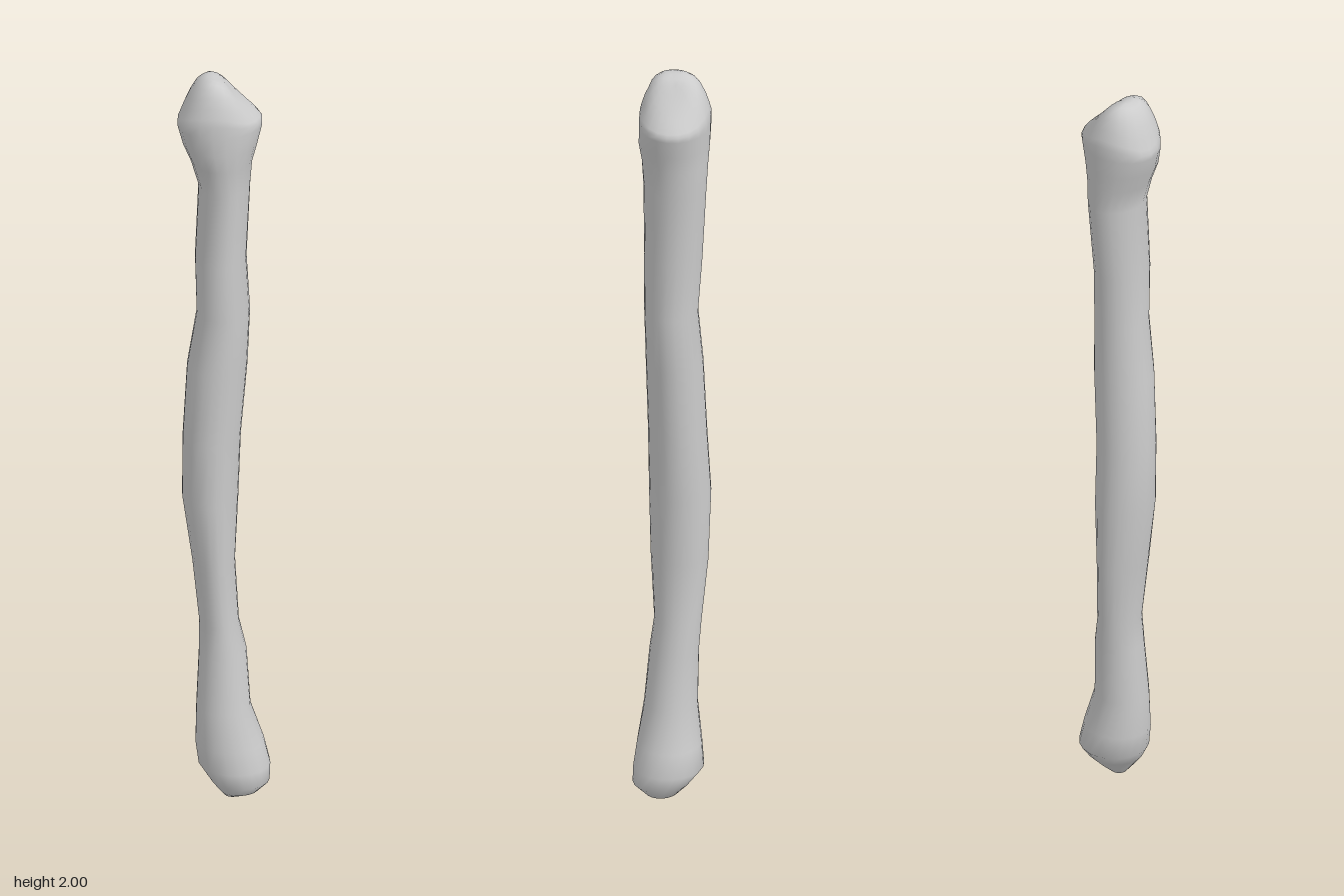
import * as THREE from 'three';

const SIDES = 20;

// Cross-sections from bottom to top: y, xMin, xMax, zMin, zMax,
// bulge (below 0 flattens the front-left flank, above 0 swells it)
const SECTIONS = [
  [0.003, 0.0, 0.04, -0.005, 0.035, 0],
  [0.02, -0.012, 0.085, -0.022, 0.065, 0],
  [0.05, -0.035, 0.109, -0.05, 0.09, 0.06],
  [0.09, -0.062, 0.113, -0.082, 0.09, 0.06],
  [0.15, -0.07, 0.1, -0.075, 0.085, 0.02],
  [0.25, -0.068, 0.068, -0.062, 0.073, -0.06],
  [0.4, -0.06, 0.06, -0.065, 0.06, -0.1],
  [0.48, -0.058, 0.042, -0.07, 0.05, -0.1],
  [0.65, -0.075, 0.033, -0.085, 0.062, -0.12],
  [0.83, -0.1, 0.042, -0.09, 0.068, -0.12],
  [1.0, -0.1, 0.047, -0.08, 0.07, -0.12],
  [1.2, -0.09, 0.063, -0.073, 0.073, -0.12],
  [1.35, -0.067, 0.068, -0.063, 0.074, -0.12],
  [1.5, -0.07, 0.06, -0.073, 0.075, -0.12],
  [1.7, -0.06, 0.07, -0.085, 0.075, -0.1],
  [1.77, -0.08, 0.075, -0.088, 0.08, -0.06],
  [1.82, -0.1, 0.085, -0.091, 0.086, 0],
  [1.87, -0.113, 0.098, -0.093, 0.084, 0],
];

// One closed ring of points around a section
function ring([y, x0, x1, z0, z1, bulge]) {
  const points = [];
  for (let i = 0; i < SIDES; i++) {
    const a = (i / SIDES) * Math.PI * 2;
    const k = 1 + bulge * Math.max(0, Math.cos(a - Math.PI / 4)) ** 4;
    points.push(new THREE.Vector3(
      (x0 + x1) / 2 + ((x1 - x0) / 2) * k * Math.cos(a), y,
      (z0 + z1) / 2 + ((z1 - z0) / 2) * k * Math.sin(a)));
  }
  return points;
}

// Joint surface profile: a high rounded knob falling to a low shelf at +x
const CROWN = [[-0.115, 1.92], [-0.09, 1.97], [-0.06, 1.997], [-0.03, 2.003],
  [0, 1.99], [0.03, 1.957], [0.06, 1.932], [0.11, 1.915]];
function crownHeight(x) {
  for (let i = 1; i < CROWN.length; i++) {
    const [xa, ya] = CROWN[i - 1], [xb, yb] = CROWN[i];
    if (x <= xb) return THREE.MathUtils.mapLinear(Math.max(x, xa), xa, xb, ya, yb);
  }
  return CROWN[CROWN.length - 1][1];
}

// Shrinking rings that close the upper end under the joint profile
function crownRings(rim) {
  return [1, 0.95, 0.86, 0.74, 0.6, 0.45, 0.3, 0.15].map((s) => rim.map((p) => {
    const x = -0.008 + (p.x + 0.008) * s;
    const dome = 0.25 + 0.75 * (1 - s ** 4);
    return new THREE.Vector3(x, 1.87 + (crownHeight(x) - 1.87) * dome, p.z * s);
  }));
}

// Skin consecutive rings and close both ends with a centre point
function loft(rings, bottom, top) {
  const points = [...rings.flat(), bottom, top];
  const index = [];
  const low = rings.length * SIDES, high = low + 1;
  const last = (rings.length - 1) * SIDES;
  for (let i = 0; i < SIDES; i++) {
    const j = (i + 1) % SIDES;
    for (let r = 0; r < rings.length - 1; r++) {
      const a = r * SIDES + i, b = r * SIDES + j;
      index.push(a, a + SIDES, b, b, a + SIDES, b + SIDES);
    }
    index.push(low, i, j, high, last + j, last + i);
  }
  const geometry = new THREE.BufferGeometry().setFromPoints(points);
  geometry.setIndex(index);
  geometry.computeVertexNormals();
  return geometry;
}

export function createModel() {
  const group = new THREE.Group();
  group.name = 'longBone';
  const rings = SECTIONS.map(ring);
  rings.push(...crownRings(rings[rings.length - 1]));
  const geometry = loft(rings,
    new THREE.Vector3(0.02, 0, 0.015),
    new THREE.Vector3(-0.008, crownHeight(-0.008), 0));
  const bone = new THREE.Mesh(geometry, new THREE.MeshStandardMaterial({ color: 0xcccccc }));
  bone.name = 'boneShaftAndJoints';
  group.add(bone);
  return group;
}
